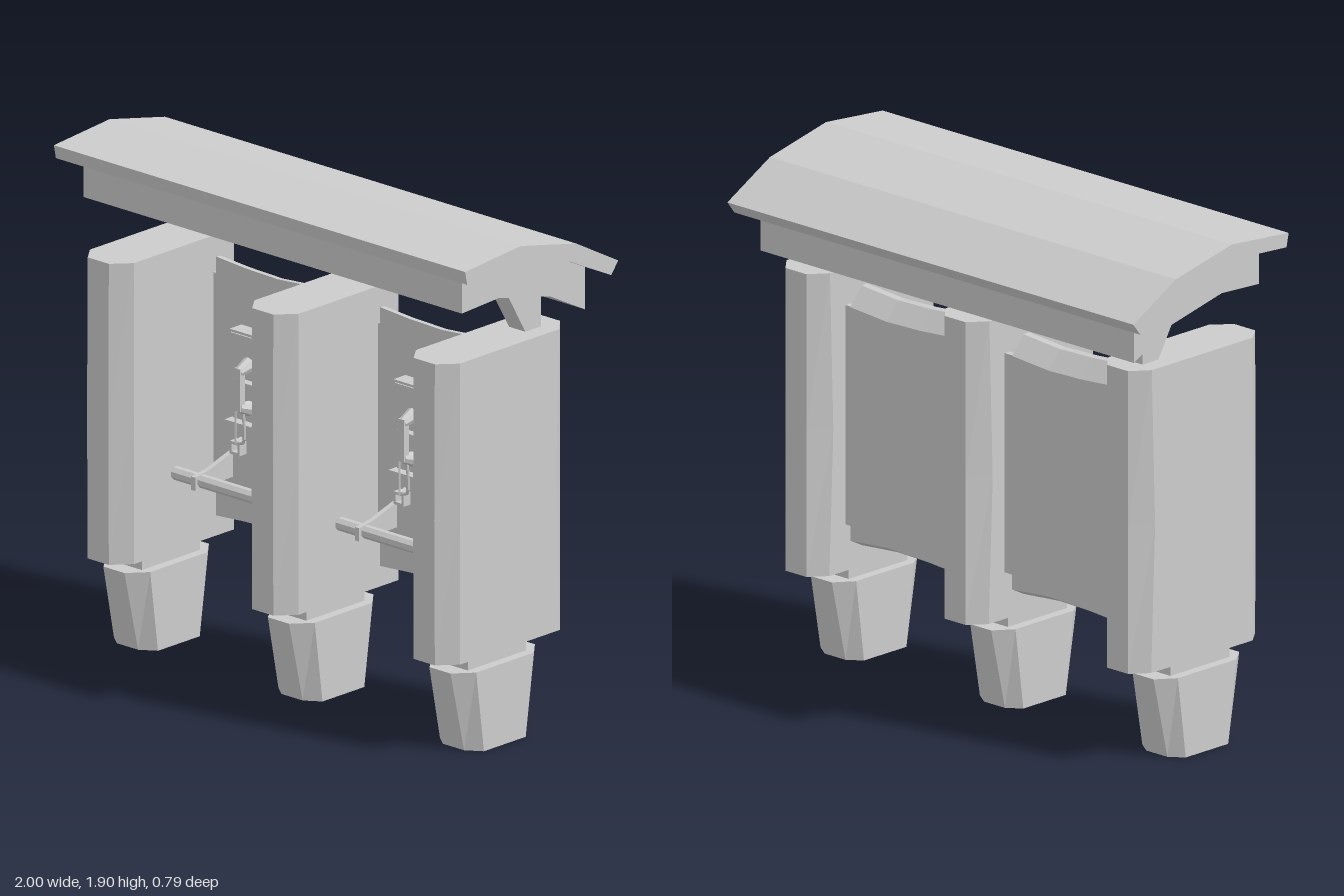
import * as THREE from 'three';

const grey = new THREE.MeshStandardMaterial({ color: 0xcccccc, flatShading: true });
grey.name = 'plain grey';

function add(parent, name, geometry, x = 0, y = 0, z = 0) {
  const mesh = new THREE.Mesh(geometry, grey);
  mesh.name = name;
  mesh.position.set(x, y, z);
  parent.add(mesh);
  return mesh;
}

// Box given by its limits
function block(parent, name, x0, x1, y0, y1, z0, z1) {
  return add(parent, name, new THREE.BoxGeometry(x1 - x0, y1 - y0, z1 - z0),
    (x0 + x1) / 2, (y0 + y1) / 2, (z0 + z1) / 2);
}

// Side profile of [z, y] points, extruded along x
function profile(points, x0, x1) {
  const shape = new THREE.Shape(points.map(([z, y]) => new THREE.Vector2(-z, y)));
  return new THREE.ExtrudeGeometry(shape, { depth: x1 - x0, bevelEnabled: false })
    .rotateY(Math.PI / 2).translate(x0, 0, 0);
}

// Closed solid through convex rings of equal size
function loft(rings) {
  const n = rings[0].length, index = [];
  for (let r = 0; r < rings.length - 1; r++) {
    for (let i = 0; i < n; i++) {
      const a = r * n + i, b = r * n + (i + 1) % n;
      index.push(a, b, b + n, a, b + n, a + n);
    }
  }
  const last = (rings.length - 1) * n;
  for (let i = 1; i < n - 1; i++) {
    index.push(0, i + 1, i, last, last + i, last + i + 1);
  }
  const g = new THREE.BufferGeometry();
  g.setAttribute('position', new THREE.Float32BufferAttribute(rings.flat(2), 3));
  g.setIndex(index);
  const flat = g.toNonIndexed();
  flat.computeVertexNormals();
  return flat;
}

// Horizontal chamfered ring: front, side-front, side-back and back z
function postRing(y, front, sideFront, sideBack, back) {
  return [
    [-0.055, y, front], [0.048, y, front], [0.107, y, sideFront], [0.107, y, sideBack],
    [0.048, y, back], [-0.055, y, back], [-0.107, y, sideBack], [-0.107, y, sideFront],
  ];
}

function makePost(x) {
  const post = new THREE.Group();
  post.name = 'post';
  post.position.x = x;
  add(post, 'foot', loft([
    postRing(0, 0.226, 0.186, -0.03, -0.07),
    postRing(0.305, 0.296, 0.226, -0.07, -0.14),
  ]));
  block(post, 'neck', -0.07, 0.07, 0.29, 0.37, -0.07, 0.23);
  add(post, 'dividerPanel', loft([
    postRing(0.356, 0.377, 0.31, -0.206, -0.27),
    postRing(0.9, 0.38, 0.31, -0.186, -0.27),
    postRing(1.484, 0.377, 0.31, -0.203, -0.27),
  ]));
  add(post, 'roofBracket', profile(
    [[-0.105, 1.475], [-0.18, 1.475], [-0.18, 1.63], [0.015, 1.68]], -0.04, 0.04));
  return post;
}

function makePhone() {
  const phone = new THREE.Group();
  phone.name = 'telephone';
  block(phone, 'phoneBox', -0.117, 0.118, 0.877, 1.2, -0.07, -0.003);
  block(phone, 'phoneFace', -0.108, 0.109, 0.886, 1.191, -0.01, 0.003);
  block(phone, 'lowerBox', -0.108, 0.108, 0.65, 0.88, -0.07, -0.012);
  block(phone, 'ledge', -0.115, 0.118, 0.83, 0.868, -0.07, 0.025);

  // Handset on its cradle
  block(phone, 'cradle', -0.035, 0.042, 0.97, 1.03, 0, 0.035);
  block(phone, 'handle', -0.012, 0.017, 0.94, 1.1, 0.06, 0.085);
  for (const [name, y, tilt] of [['earpiece', 1.093, 0.3], ['mouthpiece', 0.945, -0.3]]) {
    const cup = new THREE.CylinderGeometry(0.018, 0.029, 0.06, 8).rotateX(Math.PI / 2 + tilt);
    add(phone, name, cup, 0.003, y, 0.05);
  }

  // Hook lever, cord and coin return
  block(phone, 'lever', -0.062, -0.048, 1.005, 1.035, 0, 0.035);
  add(phone, 'leverRod', new THREE.CylinderGeometry(0.004, 0.004, 0.22, 6), -0.055, 0.9, 0.032);
  const cord = new THREE.CatmullRomCurve3([
    [0.003, 0.94, 0.055], [0, 0.86, 0.045], [-0.008, 0.81, 0.04], [-0.06, 0.795, 0.02], [-0.07, 0.8, -0.02],
  ].map((p) => new THREE.Vector3(...p)));
  add(phone, 'cord', new THREE.TubeGeometry(cord, 12, 0.006, 6));
  const frame = new THREE.Shape([[-0.024, -0.024], [0.024, -0.024], [0.024, 0.024], [-0.024, 0.024]]
    .map((p) => new THREE.Vector2(...p)));
  frame.holes.push(new THREE.Path([[-0.014, -0.014], [-0.014, 0.014], [0.014, 0.014], [0.014, -0.014]]
    .map((p) => new THREE.Vector2(...p))));
  add(phone, 'coinReturn', new THREE.ExtrudeGeometry(frame, { depth: 0.045, bevelEnabled: false }),
    -0.066, 0.77, -0.02);
  return phone;
}

function makeBay(x, left, right) {
  const bay = new THREE.Group();
  bay.name = 'phoneBay';
  bay.position.x = x;

  // Back panel with hollowed top and bottom edges
  const section = (px, dip) => [
    [px, 1.425 - dip, -0.065], [px, 0.455 + dip, -0.065], [px, 0.455 + dip, -0.09],
    [px, 0.485 + dip, -0.148], [px, 1.355 - dip, -0.148], [px, 1.422 - dip, -0.09],
  ];
  add(bay, 'backPanel', loft([
    section(-0.241, 0), section(-0.1, 0.01), section(0.06, 0.014), section(0.24, 0),
  ]));
  block(bay, 'wideBoard', left - x, right - x, 0.53, 1.347, -0.125, -0.1);
  bay.add(makePhone());

  // Shelf rail with two arms
  const length = right - left;
  const bar = new THREE.CylinderGeometry(0.025, 0.025, length, 8, 1, false, Math.PI / 8).rotateZ(Math.PI / 2);
  add(bay, 'rail', bar, (left + right) / 2 - x, 0.644, 0.095);
  for (const ax of [-0.168, 0.18]) {
    add(bay, 'railArm', profile(
      [[-0.07, 0.62], [0.13, 0.615], [0.13, 0.665], [0.06, 0.675], [-0.07, 0.715]],
      ax - 0.01, ax + 0.01));
  }
  return bay;
}

export function createModel() {
  const model = new THREE.Group();
  model.name = 'phoneShelter';

  // Curved roof and the beam beneath it
  add(model, 'roof', profile([
    [0.398, 1.875], [0.11, 1.9], [-0.176, 1.837], [-0.393, 1.719],
    [-0.357, 1.673], [-0.14, 1.779], [0.115, 1.842], [0.387, 1.824],
  ], -1, 1));
  add(model, 'roofBeam', profile([
    [0.33, 1.83], [0.115, 1.845], [-0.14, 1.782], [-0.307, 1.7],
    [-0.307, 1.538], [-0.125, 1.633], [0.14, 1.693], [0.33, 1.683],
  ], -0.92, 0.92));

  for (const x of [-0.8, 0, 0.785]) model.add(makePost(x));
  model.add(makeBay(-0.406, -0.71, -0.09));
  model.add(makeBay(0.391, 0.09, 0.695));
  return model;
}
